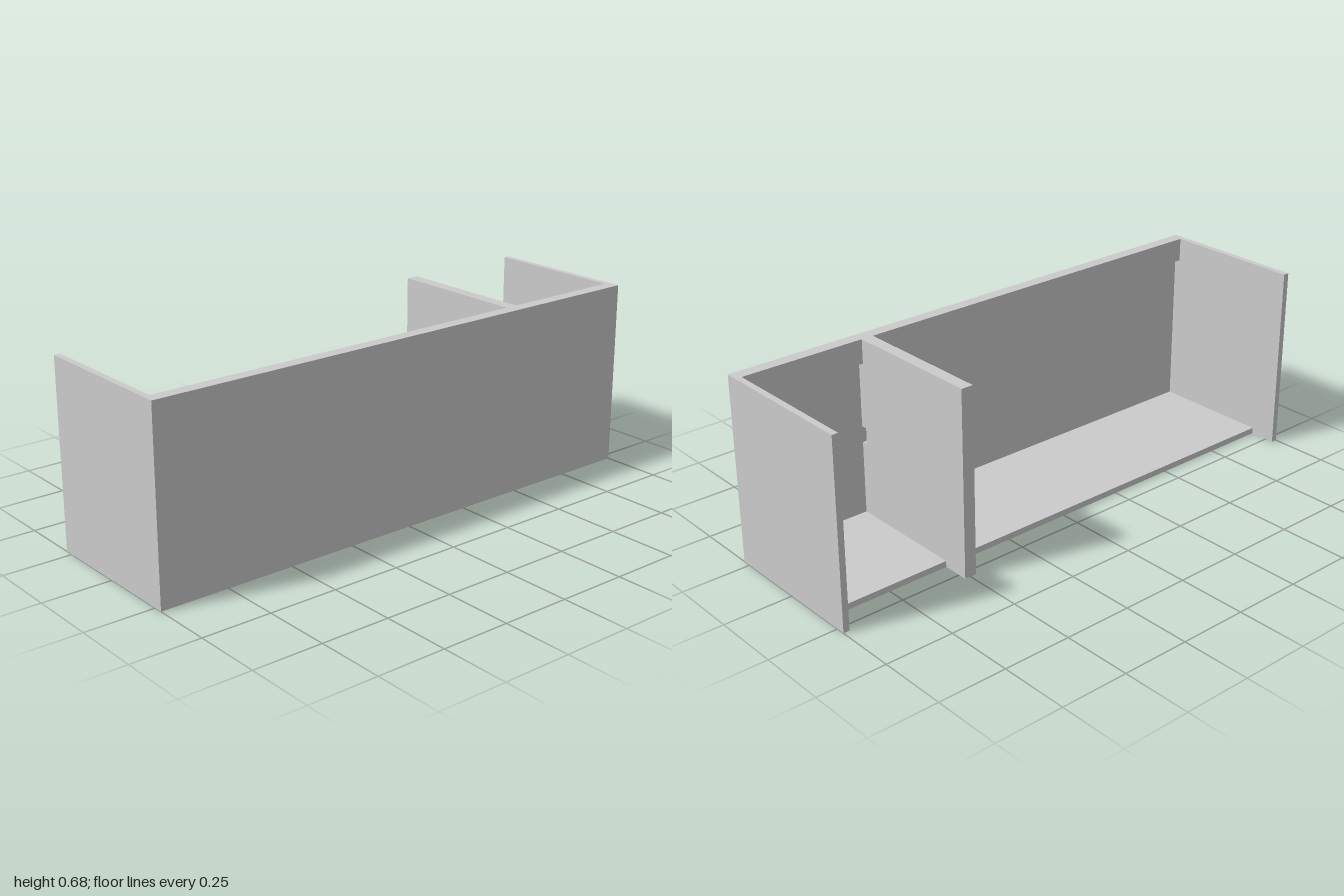
import * as THREE from 'three';

const H = 0.675, T = 0.0225, FRONT = 0.2815, BACK = -0.2815;
const WALL = FRONT - T;          // inner face of the front panel
const RAIL = WALL - T;           // inner face of the top rails
const DIV = [0.4765, 0.5215];    // divider, left to right in x

export function createModel() {
  const model = new THREE.Group();
  const material = new THREE.MeshStandardMaterial({ color: 0xcccccc });

  const add = (name, geometry) => {
    const mesh = new THREE.Mesh(geometry, material);
    mesh.name = name;
    model.add(mesh);
    return mesh;
  };
  // board given by its limits on each axis
  const board = (name, [x0, x1], [y0, y1], [z0, z1]) =>
    add(name, new THREE.BoxGeometry(x1 - x0, y1 - y0, z1 - z0))
      .position.set((x0 + x1) / 2, (y0 + y1) / 2, (z0 + z1) / 2);

  board('frontPanel', [-1, 1], [0, H], [WALL, FRONT]);
  board('rightSide', [-1, -1 + T], [0, H], [BACK, WALL]);
  board('leftSide', [1 - T, 1], [0, H], [BACK, WALL]);

  // floor and top rail of each compartment
  const bays = { wide: [-1 + T, DIV[0]], narrow: [DIV[1], 1 - T] };
  for (const [name, span] of Object.entries(bays)) {
    board(name + 'Floor', span, [0, T], [-0.183, WALL]);
    board(name + 'TopRail', span, [H - 0.087, H], [RAIL, WALL]);
  }

  // double-thickness divider with a cable notch against the front panel
  const profile = new THREE.Shape([
    [BACK, 0], [WALL, 0], [WALL, 0.29], [RAIL, 0.29],
    [RAIL, 0.35], [WALL, 0.35], [WALL, H], [BACK, H],
  ].map(([z, y]) => new THREE.Vector2(z, y)));
  const divider = new THREE.ExtrudeGeometry(profile, { depth: DIV[1] - DIV[0], bevelEnabled: false });
  divider.rotateY(-Math.PI / 2);
  add('divider', divider).position.x = DIV[1];

  return model;
}
